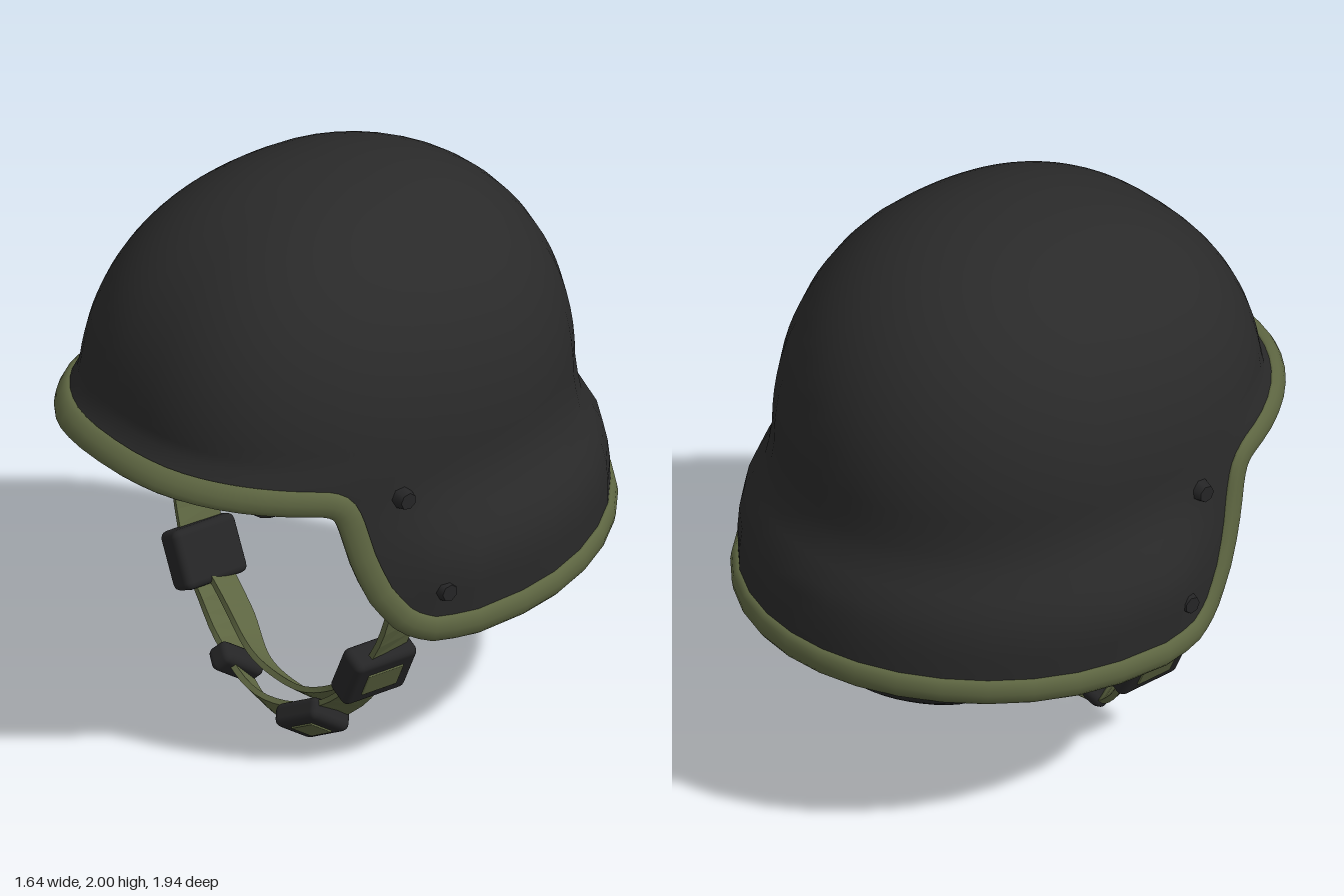
import * as THREE from 'three';
import { mergeVertices } from 'three/addons/utils/BufferGeometryUtils.js';
import { RoundedBoxGeometry } from 'three/addons/geometries/RoundedBoxGeometry.js';

const V = (x, y, z) => new THREE.Vector3(x, y, z);
const RAD = Math.PI / 180;
const ZC = -0.03; // z of the dome axis

// Straight-line lookup in a table of [key, value], keys ascending
function lookup(table, k) {
  if (k <= table[0][0]) return table[0][1];
  for (let i = 1; i < table.length; i++) {
    const [a, va] = table[i - 1], [b, vb] = table[i];
    if (k <= b) return va + (vb - va) * (k - a) / (b - a);
  }
  return table[table.length - 1][1];
}

// Shell profiles: flare below the dome, and height of the rim from back (-1) to front (1)
const SIDE_FLARE = [[0.6, 0.085], [0.7, 0.092], [0.85, 0.107], [0.92, 0.097], [1.0, 0.07], [1.1, 0.02], [1.2, 0]];
const BACK_FLARE = [[0.7, 0.127], [0.85, 0.118], [0.97, 0.092], [1.08, 0.02], [1.2, 0]];
const FRONT_FLARE = [[1.22, 0.07], [1.3, 0]];
const RIM = [[-1, 0.69], [-0.4, 0.65], [0.03, 0.64], [0.2, 0.645], [0.29, 0.69], [0.375, 0.8],
  [0.4375, 0.95], [0.47, 1.1], [0.5, 1.15], [0.55, 1.17], [1, 1.225]];
const rimHeight = c => (lookup(RIM, c - 0.015) + lookup(RIM, c) + lookup(RIM, c + 0.015)) / 3;

function dome(y, n) {
  const t = THREE.MathUtils.clamp((y - 1.2) / 0.8, 0, 1);
  return Math.pow(Math.max(0, 1 - Math.pow(t, n)), 1 / n);
}

// Point on the shell: c runs from 1 (front) to -1 (back), side is +1 or -1
function shellPoint(c, side, y) {
  const n = c > 0 ? 2.4 : 2;
  const depth = c > 0 ? 0.9 * dome(y, 2.2) + lookup(FRONT_FLARE, y)
    : 0.79 * dome(y, 2.2) + lookup(BACK_FLARE, y);
  const fade = 1 - 0.9 * THREE.MathUtils.smoothstep(c, 0, 0.48);
  const width = 0.708 * dome(y, 2.27) + lookup(SIDE_FLARE, y) * fade;
  const x = width * Math.pow(Math.max(0, 1 - Math.pow(Math.abs(c), n)), 1 / n);
  return V(side * x, y, ZC + c * depth);
}

// Columns around the shell, closer together where the rim steps down
function shellColumns() {
  const half = [];
  for (let i = 0; i <= 9; i++) half.push(Math.pow(Math.cos(i * 5.8 * RAD), 0.83));
  half.push(0.6, 0.55, 0.525, 0.505, 0.49, 0.478, 0.466, 0.452, 0.435, 0.41, 0.375, 0.335, 0.3, 0.265, 0.23,
    0.19, 0.12, 0.03);
  for (let i = 1; i <= 9; i++) half.push(-Math.sin(i * 10 * RAD));
  const other = half.slice(1, -1).reverse();
  return [...half.map(c => [c, 1]), ...other.map(c => [c, -1])];
}

function indexed(pos, index) {
  const g = new THREE.BufferGeometry();
  g.setAttribute('position', new THREE.Float32BufferAttribute(pos, 3));
  g.setIndex(index);
  return g;
}

function shellGeometry(columns, scale) {
  const rows = 30, n = columns.length, pos = [], index = [];
  for (let r = 0; r <= rows; r++) {
    for (const [c, side] of columns) {
      const rim = rimHeight(c), h = (2 - rim) * Math.cos(r / rows * Math.PI / 2);
      const p = shellPoint(c, side, rim + h);
      pos.push(p.x * scale, rim + h * scale, p.z * scale);
    }
  }
  for (let r = 0; r < rows; r++) {
    for (let j = 0; j < n; j++) {
      const a = r * n + j, b = r * n + (j + 1) % n;
      if (r > 0) index.push(a, a + n, b);
      index.push(b, a + n, b + n);
    }
  }
  const g = mergeVertices(indexed(pos, index));
  g.computeVertexNormals();
  return g;
}

// Skin over a row of equal cross-sections
function loft(sections, closed) {
  const m = sections[0].length, n = sections.length, index = [];
  for (let i = 0; i < (closed ? n : n - 1); i++) {
    for (let j = 0; j < m; j++) {
      const k = (j + 1) % m, a = i * m, b = ((i + 1) % n) * m;
      index.push(a + j, b + j, a + k, a + k, b + j, b + k);
    }
  }
  return indexed(sections.flat().flatMap(p => p.toArray()), index);
}

// Flat oval band that hugs the shell along its rim
function trimGeometry(columns) {
  const rim = columns.map(([c, s]) => shellPoint(c, s, rimHeight(c))), n = rim.length;
  const sections = columns.map(([c, s], i) => {
    const along = rim[(i + 1) % n].clone().sub(rim[(i + n - 1) % n]).normalize();
    const up = shellPoint(c, s, rim[i].y + 0.06).sub(rim[i]);
    const out = along.clone().cross(up).normalize();
    const wide = out.clone().cross(along);
    return Array.from({ length: 10 }, (_, k) => {
      const a = k / 10 * Math.PI * 2;
      return rim[i].clone().addScaledVector(out, 0.026 * Math.cos(a))
        .addScaledVector(wide, 0.008 + 0.047 * Math.sin(a));
    });
  });
  const g = loft(sections, true);
  g.computeVertexNormals();
  return g;
}

// Soft pad bent round the inside: angle from the front in degrees, heights, outer radii;
// curl draws the lower end inwards
function padGeometry(angle, halfAngle, y0, y1, thick, rx, rz, curl = 0) {
  let g = new THREE.BoxGeometry(2, 2, 2, 10, 10, 4);
  g.deleteAttribute('uv');
  g.deleteAttribute('normal');
  g = mergeVertices(g);
  const p = g.attributes.position, q = V(0, 0, 0);
  for (let i = 0; i < p.count; i++) {
    q.fromBufferAttribute(p, i);
    q.divideScalar(Math.pow(Math.abs(q.x) ** 4 + Math.abs(q.y) ** 4 + Math.abs(q.z) ** 4, 0.25));
    const y = (y0 + y1) / 2 + q.y * (y1 - y0) / 2;
    const a = (angle + q.x * halfAngle) * RAD;
    const inset = thick * (1 - q.z) / 2 + curl * (Math.max(0, 0.75 - y) / 0.3) ** 2;
    p.setXYZ(i, Math.sin(a) * (rx - inset), y, ZC + Math.cos(a) * (rz - inset));
  }
  g.computeVertexNormals();
  return g;
}

// Flat strap: a path with a half-width vector at each point, mirrored to the other side
function strapGeometry(half) {
  const full = [...half, ...half.slice(0, -1).reverse().map(([p, w]) => [V(-p.x, p.y, p.z), V(-w.x, w.y, w.z)])];
  const path = new THREE.CatmullRomCurve3(full.map(e => e[0]));
  const widths = new THREE.CatmullRomCurve3(full.map(e => e[1]), false, 'catmullrom', 0.2);
  const sections = Array.from({ length: 49 }, (_, i) => {
    const p = path.getPoint(i / 48), w = widths.getPoint(i / 48);
    const nrm = path.getTangent(i / 48).cross(w).normalize().multiplyScalar(0.01);
    return [[-1, 1], [1, 1], [1, -1], [-1, -1]].map(([s, k]) =>
      p.clone().addScaledVector(w, s).addScaledVector(nrm, k));
  });
  const g = loft(sections, false).toNonIndexed();
  g.computeVertexNormals();
  return g;
}

export function createModel() {
  const mat = (name, color, side = THREE.FrontSide) => {
    const m = new THREE.MeshStandardMaterial({ color, side });
    m.name = name;
    return m;
  };
  const black = mat('shell black', 0x2a2a2a, THREE.DoubleSide);
  const padding = mat('padding black', 0x292929);
  const plastic = mat('buckle black', 0x252526);
  const olive = mat('olive webbing', 0x5d6541, THREE.DoubleSide);

  const model = new THREE.Group();
  model.name = 'helmet';
  const add = (name, geo, material, parent = model) => {
    const m = new THREE.Mesh(geo, material);
    m.name = name;
    parent.add(m);
    return m;
  };

  // Shell, lining and edge trim
  const columns = shellColumns();
  add('shell', shellGeometry(columns, 1), black);
  add('innerShell', shellGeometry(columns, 0.96), black);
  add('edgeTrim', trimGeometry(columns), olive);

  // Pads
  add('backPad', padGeometry(180, 45, 0.74, 1.04, 0.17, 0.67, 0.78), padding);
  for (const s of [1, -1]) {
    add('sidePad', padGeometry(s * 96, 18, 0.47, 1.19, 0.19, 0.66, 0.77, 0.13), padding);
    add('rearSidePad', padGeometry(s * 121, 12, 0.56, 1.12, 0.09, 0.66, 0.78, 0.05), padding);
    add('lowerBackPad', padGeometry(s * 154, 26, s > 0 ? 0.46 : 0.42, 0.8, 0.2, 0.68, 0.82, 0.13), padding);
    add('upperBackPad', padGeometry(s * 154, 26, 1.02, 1.35, 0.16, 0.62, 0.69), padding);
    add('browPad', padGeometry(s * 27, 26, 1.19, 1.42, 0.13, 0.6, 0.75), padding);

    // Webbing tab on the rear side pad
    const tab = add('webbingTab', new THREE.CylinderGeometry(0.06, 0.06, 0.008, 6), olive);
    tab.rotation.set(0, s * 29 * RAD, Math.PI / 2, 'YXZ');
    tab.position.set(s * 0.485, 0.76, -0.385);

    // Bolts through the sides
    for (const [x, y, z] of [[0.708, 1.145, 0.235], [0.775, 0.79, 0.115]]) {
      const bolt = add('bolt', new THREE.CylinderGeometry(0.03, 0.043, 0.05, 7), plastic);
      bolt.position.set(s * x, y, z);
      bolt.rotation.z = -s * Math.PI / 2;
    }
  }

  // Chin straps
  add('chinStrap', strapGeometry([
    [V(0.635, 1.12, 0.2), V(0.015, 0, 0.06)], [V(0.625, 0.82, 0.16), V(0.015, 0, 0.065)],
    [V(0.575, 0.58, 0.165), V(0.015, 0, 0.075)], [V(0.48, 0.38, 0.19), V(0.01, 0.01, 0.075)],
    [V(0.35, 0.21, 0.215), V(0, 0.03, 0.065)], [V(0.18, 0.1, 0.26), V(0, 0.05, 0.045)],
    [V(0, 0.065, 0.28), V(0, 0.055, 0.045)]]), olive);
  add('innerChinStrap', strapGeometry([
    [V(0.47, 0.39, 0.18), V(0, 0.01, 0.05)], [V(0.32, 0.24, 0.17), V(0, 0.02, 0.05)],
    [V(0.16, 0.145, 0.2), V(0, 0.03, 0.04)], [V(0, 0.12, 0.2), V(0, 0.03, 0.04)]]), olive);

  // Buckles: thickness, length along the strap and width, with an optional webbing window
  const buckle = (name, s, at, size, turn, tilt, window) => {
    const g = new THREE.Group();
    g.name = name;
    g.position.set(s * at[0], at[1], at[2]);
    g.rotation.set(tilt, 0, -s * turn);
    add('buckleFrame', new RoundedBoxGeometry(...size, 2, 0.025), plastic, g);
    if (window) {
      const w = add('buckleWindow', new RoundedBoxGeometry(0.008, size[1] * 0.48, size[2] * 0.56, 1, 0.003), olive, g);
      w.position.x = s * (size[0] / 2 + 0.002);
    }
    model.add(g);
  };
  for (const s of [1, -1]) buckle('sideBuckle', s, [0.48, 0.39, 0.195], [0.105, 0.205, 0.25], 0.45, 0, true);
  buckle('chinBuckle', 1, [0.23, 0.11, 0.265], [0.08, 0.19, 0.18], 1.0, -0.6, true);
  buckle('chinSlider', -1, [0.2, 0.125, 0.265], [0.085, 0.085, 0.19], 0.95, -0.6, false);

  return model;
}
